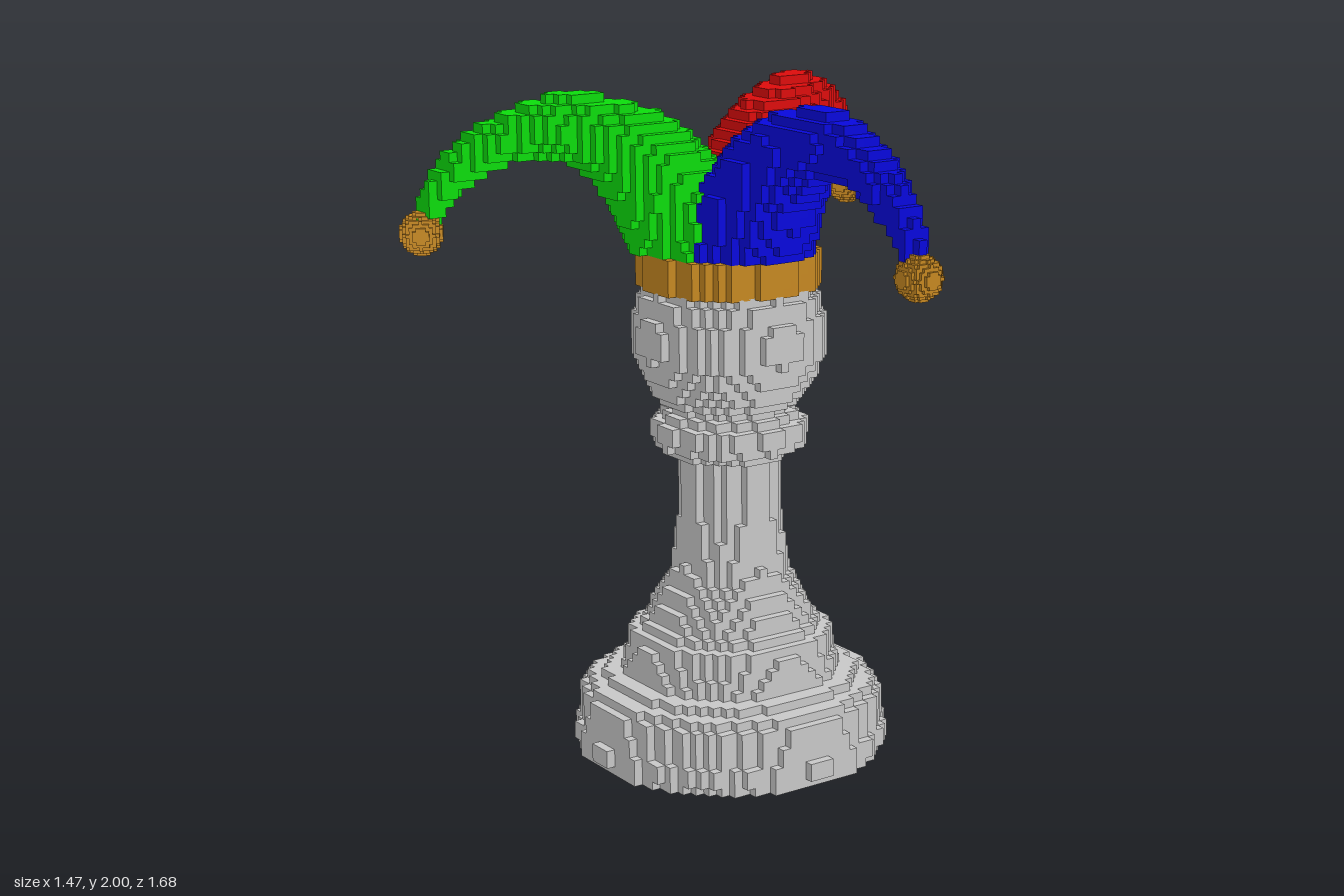
import * as THREE from 'three';

const V = 0.0271;   // block size
const CX = -0.225;  // x of the pawn's axis

// Fills a grid of blocks: cell(x, y, z) returns a colour key or 0.
// Returns one mesh per key, made of the exposed block faces only.
function voxelMeshes(cell, v, half, layers, parts) {
  const lo = [-half[0], 0, -half[1]], n = [2 * half[0] + 1, layers, 2 * half[1] + 1];
  const grid = new Uint8Array(n[0] * n[1] * n[2]);
  const index = (p) => (p[0] * n[1] + p[1]) * n[2] + p[2];
  const centre = (p) => [(p[0] + lo[0]) * v, (p[1] + 0.5) * v, (p[2] + lo[2]) * v];
  const at = (p) => (p.every((c, k) => c >= 0 && c < n[k]) ? grid[index(p)] : 0);
  const each = (f) => {
    for (let i = 0; i < n[0]; i++)
      for (let j = 0; j < n[1]; j++)
        for (let k = 0; k < n[2]; k++) f([i, j, k]);
  };
  each((p) => { grid[index(p)] = cell(...centre(p)); });

  const buffers = parts.map(() => ({ pos: [], nor: [], idx: [] }));
  each((p) => {
    const key = at(p);
    if (!key) return;
    const b = buffers[key - 1], c = centre(p);
    for (let d = 0; d < 3; d++) for (const s of [-1, 1]) {
      const q = [...p];
      q[d] += s;
      if (at(q)) continue;
      const base = b.pos.length / 3, normal = [0, 0, 0];
      normal[d] = s;
      for (const [a, e] of [[-1, -1], [1, -1], [1, 1], [-1, 1]]) {
        const corner = [...c];
        corner[d] += s * v / 2;
        corner[(d + 1) % 3] += a * v / 2;
        corner[(d + 2) % 3] += e * v / 2;
        b.pos.push(...corner);
        b.nor.push(...normal);
      }
      const order = s > 0 ? [0, 1, 2, 0, 2, 3] : [0, 2, 1, 0, 3, 2];
      b.idx.push(...order.map((o) => base + o));
    }
  });

  return parts.map(([name, color], i) => {
    const g = new THREE.BufferGeometry();
    g.setAttribute('position', new THREE.Float32BufferAttribute(buffers[i].pos, 3));
    g.setAttribute('normal', new THREE.Float32BufferAttribute(buffers[i].nor, 3));
    g.setIndex(buffers[i].idx);
    const mesh = new THREE.Mesh(g, new THREE.MeshStandardMaterial({ color }));
    mesh.name = name;
    return mesh;
  });
}

// Pawn outline below the head: [radius, height]
const PROFILE = [
  [0.45, 0], [0.462, 0.035], [0.462, 0.075], [0.448, 0.09], [0.445, 0.19], [0.405, 0.215],
  [0.36, 0.24], [0.32, 0.26], [0.305, 0.3], [0.295, 0.37], [0.245, 0.41], [0.225, 0.46],
  [0.195, 0.51], [0.165, 0.57], [0.155, 0.66], [0.142, 0.76], [0.138, 0.92], [0.185, 0.94],
  [0.222, 0.965], [0.222, 1.02], [0.19, 1.045], [0.165, 1.07], [0.17, 1.1],
];

function profileRadius(y) {
  for (let i = 1; i < PROFILE.length; i++) {
    const [r0, y0] = PROFILE[i - 1], [r1, y1] = PROFILE[i];
    if (y <= y1) return r0 + (r1 - r0) * (y - y0) / (y1 - y0);
  }
  return 0;
}

function pawnCell(x, y, z) {
  const r = Math.hypot(x, z);
  const inHead = Math.hypot(r, y - 1.29) < 0.278;
  return inHead || r < profileRadius(y) ? 1 : 0;
}

// Hat: each tail is a tapering arc, given as distance out, height and radius
const HAT_Y = 1.432;
const TAIL = new THREE.CatmullRomCurve3([
  [0.1, 1.57, 0.18], [0.16, 1.68, 0.17], [0.235, 1.785, 0.147], [0.33, 1.857, 0.12],
  [0.48, 1.903, 0.093], [0.635, 1.875, 0.07], [0.76, 1.8, 0.056], [0.845, 1.71, 0.04],
  [0.885, 1.61, 0.026],
].map((p) => new THREE.Vector3(...p))).getPoints(60);
const ANGLES = [0, 1, -1].map((k) => k * Math.PI * 2 / 3);

function hatCell(x, yLocal, z) {
  const y = yLocal + HAT_Y, r = Math.hypot(x, z);
  if (y < 1.54) {
    if (r > 0.256) return 0;
    if (r > 0.228) return 4;
  }
  // The three colours split the hat into equal sectors
  const a = Math.atan2(z, x);
  const sector = Math.abs(a) < Math.PI / 3 ? 1 : z >= 0 ? 2 : 3;
  if (y < 1.72 && r < 0.245 - Math.max(0, y - 1.56) * 0.35) return sector;
  const t = ANGLES[sector - 1];
  const out = x * Math.cos(t) + z * Math.sin(t);
  const side = z * Math.cos(t) - x * Math.sin(t);
  const inside = TAIL.some((p) => (out - p.x) ** 2 + (y - p.y) ** 2 + side ** 2 < p.z ** 2);
  return inside ? sector : 0;
}

export function createModel() {
  const model = new THREE.Group();
  model.name = 'jesterPawn';

  // Pawn body
  const pawn = voxelMeshes(pawnCell, V, [18, 18], 60, [['pawnBody', 0xcccccc]])[0];
  pawn.position.x = CX;
  model.add(pawn);

  // Hat with three tails and a gold band
  const hat = new THREE.Group();
  hat.name = 'jesterHat';
  hat.position.set(CX, HAT_Y, 0);
  hat.add(...voxelMeshes(hatCell, V, [35, 33], 22, [
    ['blueTail', 0x0808e0], ['greenTail', 0x0ce00c], ['redTail', 0xe00c0c], ['hatBand', 0xc98a22],
  ]));
  model.add(hat);

  // Bells, in finer blocks
  const bv = 0.0097, br = 0.0625;
  const ball = (x, y, z) => (Math.hypot(x, y - 6.5 * bv, z) < br ? 1 : 0);
  for (const t of ANGLES) {
    const bell = voxelMeshes(ball, bv, [7, 7], 13, [['bell', 0xc98a22]])[0];
    bell.position.set(CX + 0.892 * Math.cos(t), 1.6 - 6.5 * bv, 0.892 * Math.sin(t));
    bell.rotation.y = -t;
    model.add(bell);
  }
  return model;
}
